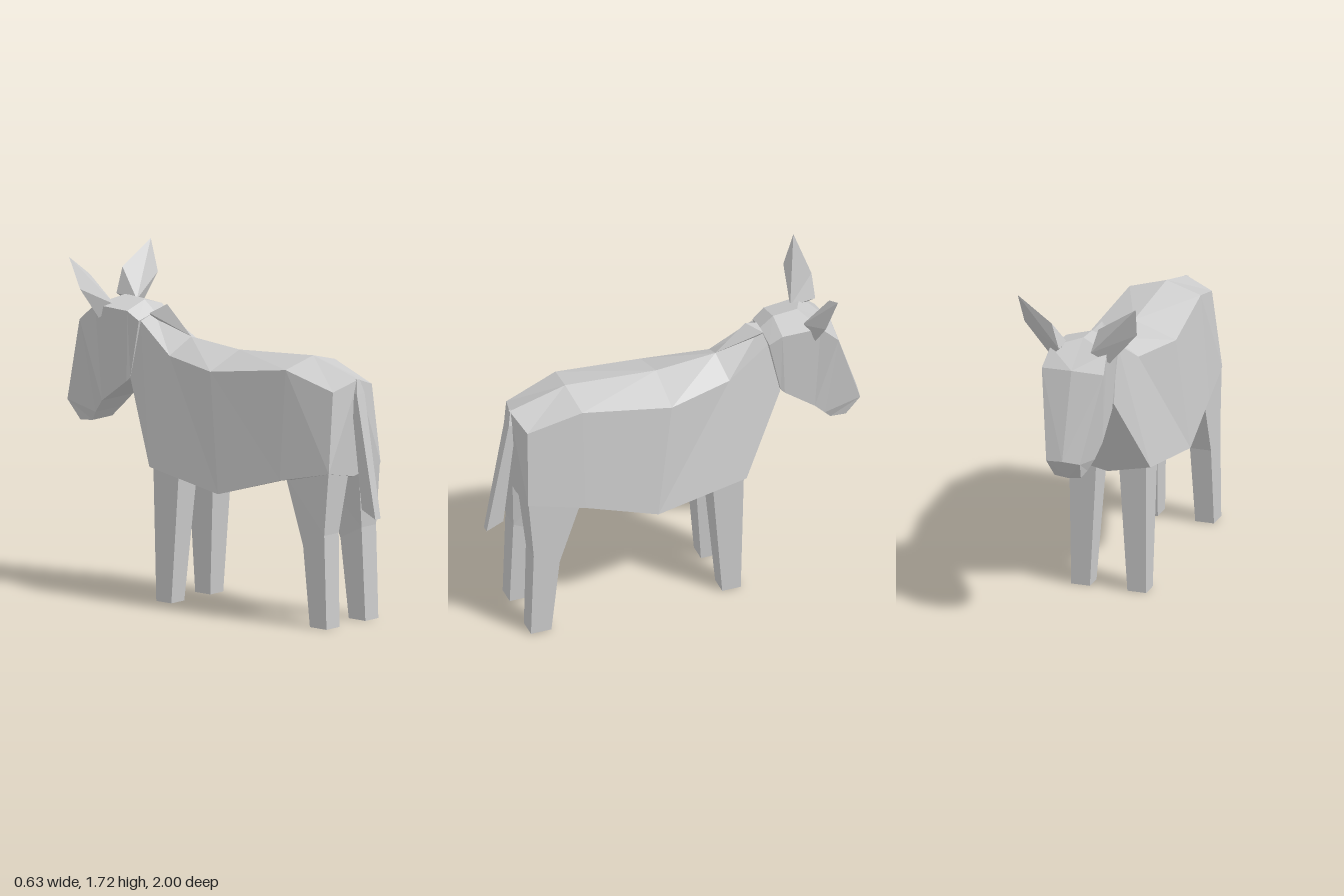
import * as THREE from 'three';
import { ConvexGeometry } from 'three/addons/geometries/ConvexGeometry.js';

const material = new THREE.MeshStandardMaterial({ color: 0xcccccc, flatShading: true, side: THREE.DoubleSide });

function addMesh(parent, name, geometry) {
  const mesh = new THREE.Mesh(geometry, material);
  mesh.name = name;
  parent.add(mesh);
}

// Closed skin over equal-length rings; diagonals mirror across the ring's halves.
function loft(rings) {
  const n = rings[0].length;
  const tris = [];
  for (let i = 0; i < rings.length - 1; i++) {
    const a = rings[i], b = rings[i + 1];
    for (let j = 0; j < n; j++) {
      const k = (j + 1) % n;
      if (j < n / 2) tris.push([a[j], a[k], b[j]], [b[j], a[k], b[k]]);
      else tris.push([a[j], a[k], b[k]], [a[j], b[k], b[j]]);
    }
  }
  const first = rings[0], last = rings[rings.length - 1];
  for (let j = 1; j < n - 1; j++) {
    tris.push([first[0], first[j + 1], first[j]], [last[0], last[j], last[j + 1]]);
  }
  // Turn every face outwards if the enclosed volume comes out negative.
  const v = (p) => new THREE.Vector3(...p);
  const volume = tris.reduce((s, [p, q, r]) => s + v(p).dot(v(q).cross(v(r))), 0);
  if (volume < 0) tris.forEach((t) => t.reverse());
  const geometry = new THREE.BufferGeometry();
  geometry.setAttribute('position', new THREE.Float32BufferAttribute(tris.flat(2), 3));
  geometry.computeVertexNormals();
  return geometry;
}

// Half section (top centre, upper side, lower side, bottom centre) to full ring.
const mirrorRing = (half) => [
  ...half,
  ...half.slice(1, -1).reverse().map(([x, y, z]) => [-x, y, z]),
];

// Horizontal rectangular section.
const rect = (x0, x1, y, z0, z1) => [[x0, y, z0], [x1, y, z0], [x1, y, z1], [x0, y, z1]];

const hull = (points) => new ConvexGeometry(points.map((p) => new THREE.Vector3(...p)));

export function createModel() {
  const model = new THREE.Group();
  model.name = 'donkey';

  // Trunk and neck, from rump to throat
  addMesh(model, 'body', loft([
    [[0, 1.26, 0.87], [0.15, 1.21, 0.83], [0.2, 0.8, 0.845], [0, 0.76, 0.84]],
    [[0, 1.345, 0.57], [0.19, 1.295, 0.55], [0.235, 0.735, 0.55], [0, 0.73, 0.55]],
    [[0, 1.31, 0.08], [0.225, 1.23, 0.08], [0.27, 0.62, 0.17], [0, 0.625, 0.17]],
    [[0, 1.335, -0.24], [0.145, 1.255, -0.26], [0.23, 0.69, -0.32], [0, 0.64, -0.32]],
    [[0, 1.43, -0.48], [0.11, 1.4, -0.48], [0.115, 1.1, -0.545], [0, 1.1, -0.55]],
  ].map(mirrorRing)));

  // Head, from nape over the brow to the muzzle
  addMesh(model, 'head', loft([
    [[0, 1.43, -0.48], [0.12, 1.4, -0.485], [0.11, 1.1, -0.55], [0, 1.1, -0.55]],
    [[0, 1.485, -0.55], [0.135, 1.445, -0.55], [0.115, 1.08, -0.57], [0, 1.08, -0.57]],
    [[0, 1.495, -0.68], [0.15, 1.455, -0.75], [0.12, 0.96, -0.73], [0, 0.96, -0.73]],
    [[0, 1.38, -0.86], [0.165, 1.37, -0.84], [0.1, 0.89, -0.79], [0, 0.89, -0.79]],
    [[0, 0.94, -1], [0.09, 0.93, -0.985], [0.075, 0.84, -0.83], [0, 0.84, -0.83]],
    [[0, 0.825, -0.92], [0.07, 0.83, -0.915], [0.07, 0.84, -0.83], [0, 0.84, -0.83]],
  ].map(mirrorRing)));

  // Mane tuft
  addMesh(model, 'mane', hull([
    [0, 1.48, -0.4], [0, 1.335, -0.24], [0.045, 1.43, -0.48], [-0.045, 1.43, -0.48], [0, 1.36, -0.45],
  ]));

  // Tail
  addMesh(model, 'tail', loft([
    rect(-0.01, 0.01, 1.26, 0.84, 0.87),
    rect(-0.03, 0.03, 1.19, 0.845, 0.885),
    [[-0.02, 0.6, 0.91], [0.02, 0.6, 0.91], [0.02, 0.56, 1], [-0.02, 0.56, 1]],
  ]));

  // Paired ears and legs
  for (const [side, s] of [['left', 1], ['right', -1]]) {
    addMesh(model, side + 'Ear', hull([
      [0.085, 1.47, -0.81], [0.085, 1.455, -0.675], [0.155, 1.39, -0.72],
      [0.125, 1.6, -0.805], [0.3, 1.56, -0.72], [0.315, 1.72, -0.78],
    ].map(([x, y, z]) => [s * x, y, z])));

    addMesh(model, side + 'FrontLeg', loft([
      rect(s * 0.1, s * 0.2, 0, -0.3, -0.2),
      rect(s * 0.06, s * 0.205, 0.7, -0.315, -0.145),
    ]));

    addMesh(model, side + 'HindLeg', loft([
      rect(s * 0.1, s * 0.2, 0, 0.72, 0.83),
      [[s * 0.088, 0.41, 0.675], [s * 0.2, 0.41, 0.675], [s * 0.2, 0.48, 0.815], [s * 0.088, 0.48, 0.815]],
      [[s * 0.04, 0.75, 0.56], [s * 0.2, 0.75, 0.56], [s * 0.198, 0.8, 0.842], [s * 0.04, 0.78, 0.838]],
    ]));
  }
  return model;
}
